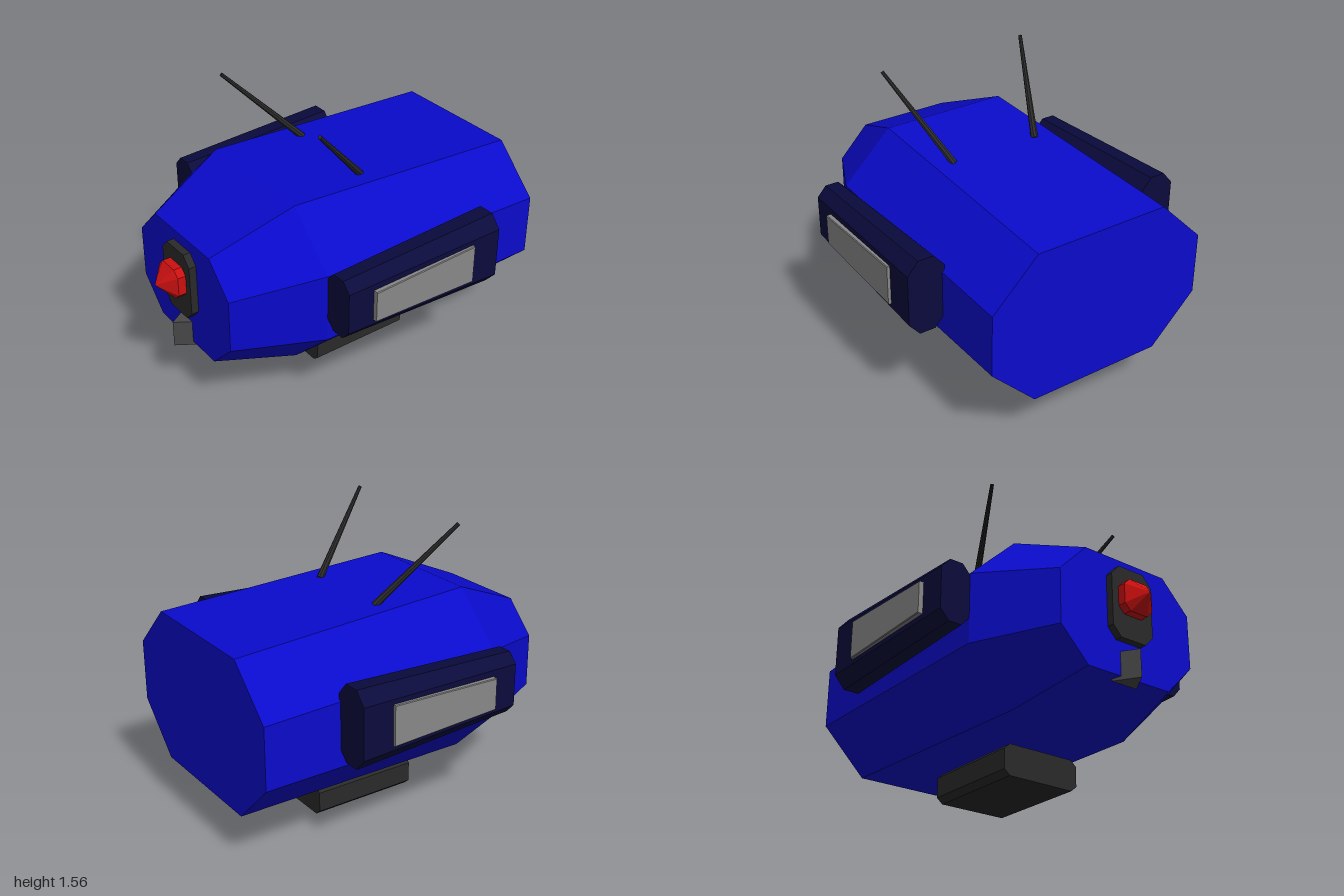
import * as THREE from 'three';

const mat = (color) => new THREE.MeshStandardMaterial({ color, flatShading: true });

// Chamfered rectangle, counter-clockwise seen from +z
// x0..x1, y0..y1, cx = corner cut along x, cyTop / cyBottom = corner cuts along y
function ring(z, x0, x1, y0, y1, cx, cyTop, cyBottom = cyTop) {
  return [
    [x1 - cx, y1], [x0 + cx, y1], [x0, y1 - cyTop], [x0, y0 + cyBottom],
    [x0 + cx, y0], [x1 - cx, y0], [x1, y0 + cyBottom], [x1, y1 - cyTop],
  ].map(([x, y]) => new THREE.Vector3(x, y, z));
}

// Skin rings ordered from front to back, with flat end caps
function loft(rings) {
  const pos = [];
  const tri = (a, b, c) => [a, b, c].forEach((p) => pos.push(p.x, p.y, p.z));
  const n = rings[0].length;
  for (let r = 0; r < rings.length - 1; r++) {
    const f = rings[r], b = rings[r + 1];
    for (let i = 0; i < n; i++) {
      const j = (i + 1) % n;
      tri(f[i], b[i], b[j]);
      tri(f[i], b[j], f[j]);
    }
  }
  const first = rings[0], last = rings[rings.length - 1];
  for (let i = 1; i < n - 1; i++) {
    tri(first[0], first[i], first[i + 1]);
    tri(last[0], last[i + 1], last[i]);
  }
  const g = new THREE.BufferGeometry();
  g.setAttribute('position', new THREE.Float32BufferAttribute(pos, 3));
  g.computeVertexNormals();
  return g;
}

export function createModel() {
  const model = new THREE.Group();
  model.name = 'pod';
  const blue = mat(0x0a0acc), navy = mat(0x0a0a3c), dark = mat(0x2a2a2a);
  const red = mat(0xcc1010), grey = mat(0x888888), bracketGrey = mat(0x484848);

  const add = (name, geometry, material, parent = model) => {
    const mesh = new THREE.Mesh(geometry, material);
    mesh.name = name;
    parent.add(mesh);
    return mesh;
  };

  // Octagonal hull with a tapered front
  add('hull', loft([
    ring(0.83, -0.425, 0.425, 0.345, 0.98, 0.165, 0.17),
    ring(0.385, -0.635, 0.635, 0.24, 1.17, 0.275, 0.27, 0.275),
    ring(-1, -0.635, 0.635, 0.26, 1.105, 0.255, 0.25, 0.255),
  ]), blue);

  // Plate and pointed lamp on the nose
  add('nosePlate', loft([
    ring(0.87, -0.13, 0.13, 0.53, 0.92, 0.05, 0.055),
    ring(0.81, -0.13, 0.13, 0.53, 0.92, 0.05, 0.055),
  ]), dark);
  add('noseLamp', loft([
    ring(0.998, -0.001, 0.001, 0.746, 0.748, 0.0004, 0.0004),
    ring(0.915, -0.09, 0.09, 0.66, 0.835, 0.035, 0.035),
    ring(0.86, -0.09, 0.09, 0.66, 0.835, 0.035, 0.035),
  ]), red);

  // Wedge bracket below the lamp
  const wedge = new THREE.Shape([[0, -0.915], [0.08, -0.79], [-0.08, -0.79]]
    .map(([x, y]) => new THREE.Vector2(x, y)));
  const wedgeGeometry = new THREE.ExtrudeGeometry(wedge, { depth: 0.15, bevelEnabled: false });
  wedgeGeometry.rotateX(-Math.PI / 2).translate(0, 0.325, 0);
  add('noseBracket', wedgeGeometry, bracketGrey);

  // Skid block hanging under the hull
  add('skid', loft([
    ring(0.15, -0.235, 0.235, 0, 0.17, 0.035, 0.03),
    ring(-0.445, -0.235, 0.235, 0, 0.17, 0.035, 0.03),
  ]), dark);

  for (const side of [1, -1]) {
    const label = side > 0 ? 'left' : 'right';
    const span = (a, b) => (side > 0 ? [a, b] : [-b, -a]);

    // Side pod flaring to the rear
    add(label + 'SidePod', loft([
      ring(0.385, ...span(0.63, 0.805), 0.6, 0.94, 0.05, 0.055),
      ring(-0.575, ...span(0.62, 0.828), 0.56, 0.98, 0.06, 0.07),
    ]), navy);

    // Panel on the outer face of the pod
    add(label + 'SidePanel', loft([
      ring(0.235, ...span(0.78, 0.835), 0.68, 0.855, 0.004, 0.004),
      ring(-0.4, ...span(0.78, 0.84), 0.66, 0.88, 0.004, 0.004),
    ]), grey);

    // Tapered antenna leaning forward and outward
    const from = new THREE.Vector3(side * 0.255, 1.14, -0.105);
    const to = new THREE.Vector3(side * 0.435, 1.552, 0.288);
    const dir = to.clone().sub(from);
    const antenna = add(label + 'Antenna',
      new THREE.CylinderGeometry(0.01, 0.02, dir.length(), 8), dark);
    antenna.position.copy(from).add(to).multiplyScalar(0.5);
    antenna.quaternion.setFromUnitVectors(new THREE.Vector3(0, 1, 0), dir.normalize());
  }
  return model;
}
